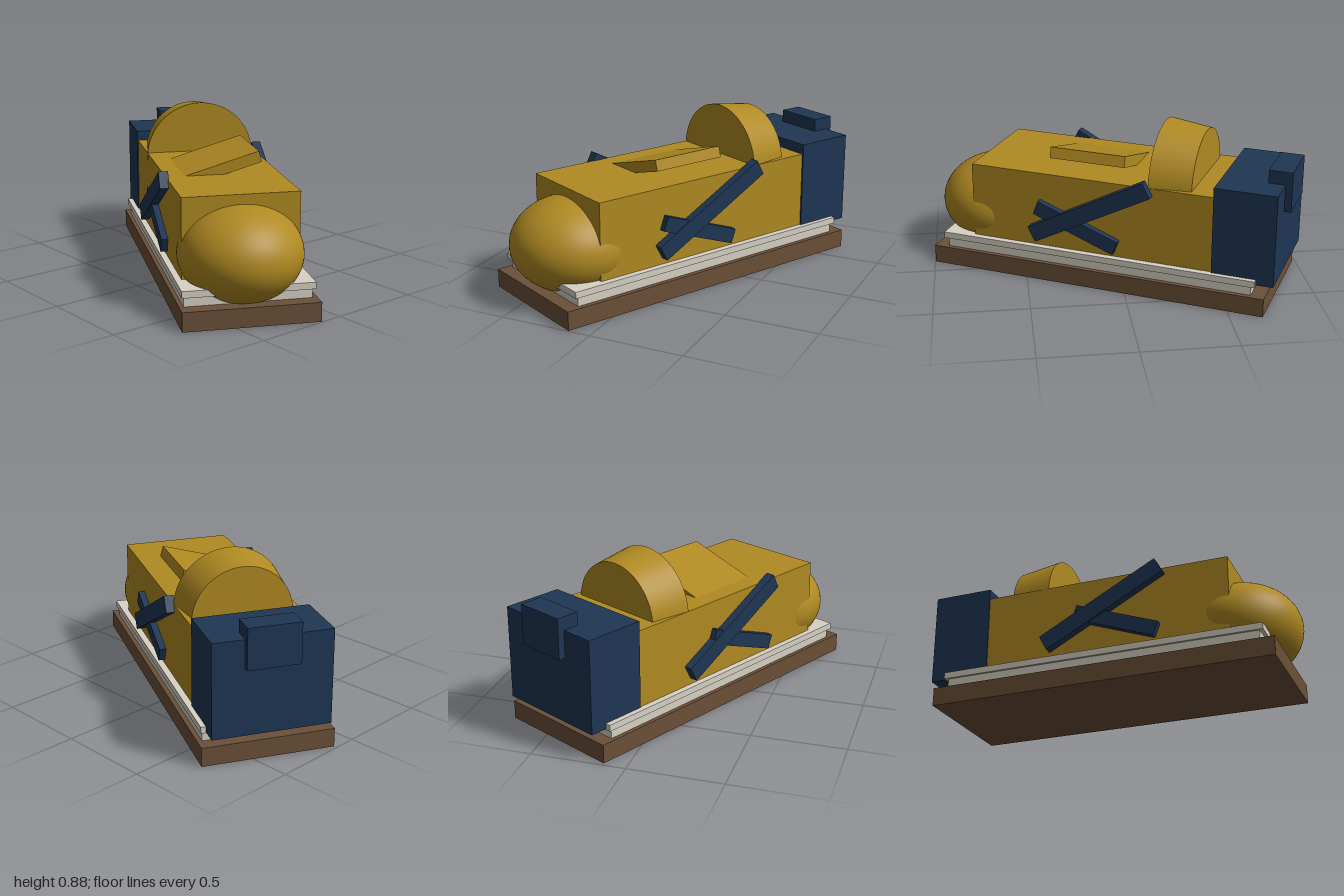
import * as THREE from 'three';

const GOLD = 0xb08a22, NAVY = 0x1f3654, BROWN = 0x6b5038, CREAM = 0xd8d2c4;

function part(parent, name, geometry, color, x, y, z) {
  const mesh = new THREE.Mesh(geometry, new THREE.MeshStandardMaterial({ color }));
  mesh.name = name;
  mesh.position.set(x, y, z);
  parent.add(mesh);
  return mesh;
}

const box = (w, h, d) => new THREE.BoxGeometry(w, h, d);

export function createModel() {
  const model = new THREE.Group();
  model.name = 'recliningFigure';

  // Everything is built along x, then the whole model is turned on the ground
  const turned = new THREE.Group();
  turned.name = 'turnedAssembly';
  turned.rotation.y = -0.473;
  model.add(turned);

  // Plinth and the two stepped slabs
  part(turned, 'plinth', box(1.87, 0.1, 0.69), BROWN, 0.006, 0.05, -0.003);
  part(turned, 'lowerSlab', box(1.72, 0.05, 0.643), CREAM, 0.005, 0.125, -0.001);
  part(turned, 'upperSlab', box(1.76, 0.035, 0.668), CREAM, 0.005, 0.1675, -0.001);

  // Body block with the rounded front
  part(turned, 'body', box(1.412, 0.43, 0.6), GOLD, 0.006, 0.385, 0);
  const nose = part(turned, 'roundedNose', new THREE.SphereGeometry(1, 64, 40), GOLD, 0.69, 0.3, 0);
  nose.scale.set(0.323, 0.25, 0.316);

  // Tapered drum half sunk into the top
  const drum = part(turned, 'taperedDrum',
    new THREE.CylinderGeometry(0.301, 0.27, 0.225, 64), GOLD, -0.4, 0.574, 0);
  drum.rotation.z = -Math.PI / 2;

  // Sloping panel on the top
  const panel = part(turned, 'slopingPanel', box(0.42, 0.06, 0.42), GOLD, 0.083, 0.627, 0);
  panel.rotation.x = 0.283;

  // Block at the rear with its small cap
  part(turned, 'rearBlock', box(0.328, 0.5, 0.614), NAVY, -0.802, 0.405, -0.002);
  part(turned, 'rearCap', box(0.124, 0.215, 0.273), NAVY, -0.94, 0.6175, -0.01);

  // Crossed bars on both flanks, mirrored in slope
  for (const side of [1, -1]) {
    const long = part(turned, 'longBar', box(0.73, 0.09, 0.05), NAVY, 0.03, 0.43, side * 0.32);
    long.rotation.z = side * 0.488;
    const short = part(turned, 'shortBar', box(0.48, 0.08, 0.04), NAVY, 0.105, 0.33, side * 0.315);
    short.rotation.z = -side * 0.36;
  }
  return model;
}
